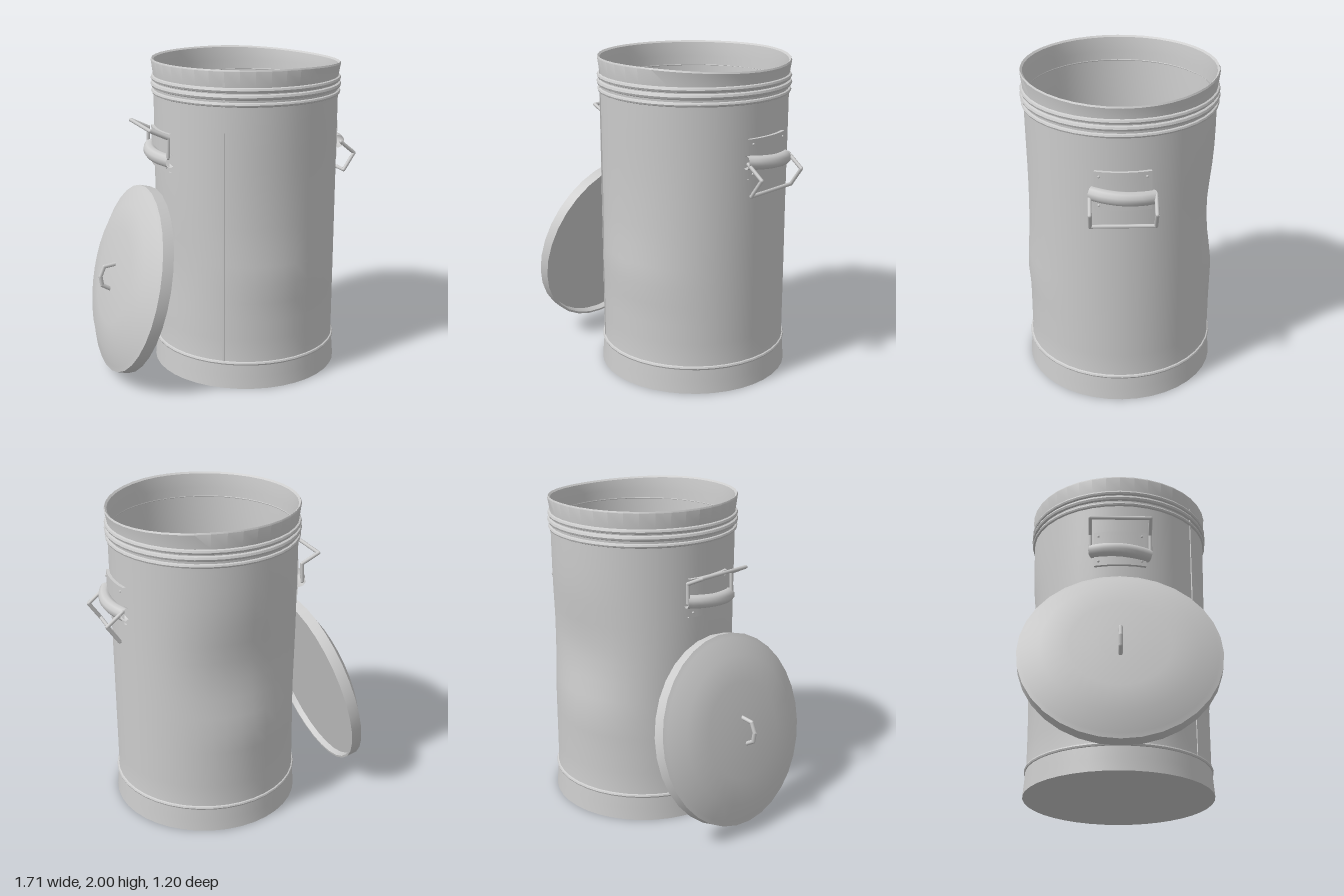
import * as THREE from 'three';
import { toCreasedNormals } from 'three/addons/utils/BufferGeometryUtils.js';

const metal = new THREE.MeshStandardMaterial({ color: 0xcccccc, side: THREE.DoubleSide });
const AXIS_X = 0.145; // the can stands off centre, beside its lid

function mesh(name, geometry, parent) {
  const m = new THREE.Mesh(geometry, metal);
  m.name = name;
  parent.add(m);
  return m;
}

function lathe(points, segments = 32, start = 0, length = Math.PI * 2) {
  return new THREE.LatheGeometry(points.map(p => new THREE.Vector2(...p)), segments, start, length);
}

// Soft dents and bulges: direction in the x-z plane, height, depth, spread
const dents = [
  { dir: [0, -1], y: 1.1, depth: 0.038, spread: 0.28 },
  { dir: [-0.2, -1], y: 0.68, depth: -0.012, spread: 0.12 },
  { dir: [-1, 0], y: 0.72, depth: 0.014, spread: 0.3 },
  { dir: [0, 1], y: 0.72, depth: -0.014, spread: 0.1 },
  { dir: [0, 1], y: 1.25, depth: 0.01, spread: 0.4 },
];

function batter(geometry) {
  const pos = geometry.attributes.position;
  for (let i = 0; i < pos.count; i++) {
    let x = pos.getX(i), y = pos.getY(i), z = pos.getZ(i);
    const r = Math.hypot(x, z);
    if (r < 0.5) continue;
    let push = 0;
    for (const d of dents) {
      const facing = (x * d.dir[0] + z * d.dir[1]) / (r * Math.hypot(...d.dir));
      if (facing > 0) push += d.depth * facing ** 6 * Math.exp(-(((y - d.y) / d.spread) ** 2));
    }
    // the rim sags on one side
    if (y > 1.95) y -= 0.028 * Math.max(0, x / r) ** 2;
    pos.setXYZ(i, x * (1 - push / r), y, z * (1 - push / r));
  }
  return toCreasedNormals(geometry, 0.6);
}

// Round bars joined by ball corners
function rods(name, pts, radius, parent, closed = false) {
  const group = new THREE.Group();
  group.name = name;
  const v = pts.map(p => new THREE.Vector3(...p));
  const count = closed ? v.length : v.length - 1;
  for (let i = 0; i < count; i++) {
    const a = v[i], b = v[(i + 1) % v.length];
    const dir = b.clone().sub(a);
    const bar = mesh('bar', new THREE.CylinderGeometry(radius, radius, dir.length(), 8), group);
    bar.position.copy(a).add(b).multiplyScalar(0.5);
    bar.quaternion.setFromUnitVectors(new THREE.Vector3(0, 1, 0), dir.normalize());
  }
  for (const p of v) mesh('corner', new THREE.SphereGeometry(radius, 8, 6), group).position.copy(p);
  parent.add(group);
}

// Side handle, built on the +x side of the can axis; elbow and grip are [distance, height]
function sideHandle(name, elbow, grip) {
  const group = new THREE.Group();
  group.name = name;
  const half = 0.28;
  mesh('mountingPlate', toCreasedNormals(lathe(
    [[0.57, 1.34], [0.602, 1.34], [0.602, 1.58], [0.57, 1.58]], 6, Math.PI / 2 - half, half * 2), 0.6), group);
  // sleeve that holds the bail
  const curve = new THREE.CatmullRomCurve3([
    [0.575, -0.185], [0.612, -0.1], [0.628, 0], [0.612, 0.1], [0.575, 0.185],
  ].map(([x, z]) => new THREE.Vector3(x, 1.43 + z * 0.08, z)));
  mesh('sleeve', new THREE.TubeGeometry(curve, 12, 0.042, 10), group);
  for (const y of [1.37, 1.55]) for (const a of [-0.23, 0.23]) {
    mesh('rivet', new THREE.SphereGeometry(0.008, 8, 6), group)
      .position.set(0.602 * Math.cos(a), y, 0.602 * Math.sin(a));
  }
  const w = 0.19;
  const side = s => [[0.595, 1.44, s * w], [elbow[0], elbow[1], s * w], [grip[0], grip[1], s * w]];
  rods('bail', [...side(-1), ...side(1).reverse()], 0.012, group);
  return group;
}

export function createModel() {
  const model = new THREE.Group();
  const can = new THREE.Group();
  can.name = 'can';
  can.position.x = AXIS_X;
  model.add(can);

  // Wall, base band and floor in one closed profile
  const wall = [];
  for (let y = 0.2; y < 1.78; y += 0.12) wall.push([0.583, y]);
  mesh('canBody', batter(lathe([
    [0, 0], [0.6, 0], [0.593, 0.08], [0.588, 0.15], ...wall,
    [0.583, 1.78], [0.585, 1.9], [0.597, 1.99], [0.592, 2], [0.58, 1.99],
    [0.568, 1.9], [0.566, 1.4], [0.562, 1.1], [0.566, 0.7], [0.566, 0.03], [0, 0.03],
  ], 40)), can);

  // Raised hoops round the base and the neck
  for (const [y, r] of [[0.165, 0.013], [1.795, 0.014], [1.84, 0.018], [1.88, 0.016]]) {
    const hoop = new THREE.TorusGeometry(0.584, r, 8, 40);
    hoop.rotateX(Math.PI / 2).translate(0, y, 0);
    mesh('hoop', batter(hoop), can);
  }

  // Vertical sheet seam
  const a = Math.atan2(-0.345, 0.47);
  const seam = mesh('seam', new THREE.BoxGeometry(0.014, 1.79, 0.012), can);
  seam.position.set(0.582 * Math.sin(a), 1.065, 0.582 * Math.cos(a));
  seam.rotation.y = a;

  // One bail hangs, the other is raised
  can.add(sideHandle('leftHandle', [0.695, 1.36], [0.622, 1.252]));
  const raised = sideHandle('rightHandle', [0.59, 1.56], [0.705, 1.615]);
  raised.rotation.y = Math.PI;
  can.add(raised);

  // Lid leaning against the can
  const lid = new THREE.Group();
  lid.name = 'lid';
  lid.position.set(-0.61, 0.62, -0.005);
  lid.rotation.z = 1.318;
  model.add(lid);
  mesh('lidShell', toCreasedNormals(lathe([
    [0, 0.04], [0.578, 0.04], [0.584, 0], [0.598, 0], [0.598, 0.07], [0.57, 0.08],
    [0.46, 0.132], [0.3, 0.152], [0.12, 0.16], [0, 0.162],
  ], 32), 0.6), lid);
  rods('lidHandle', [
    [0.086, 0.146, 0], [0.054, 0.228, 0], [-0.012, 0.238, 0], [-0.067, 0.215, 0], [-0.088, 0.146, 0],
  ], 0.013, lid);

  return model;
}
